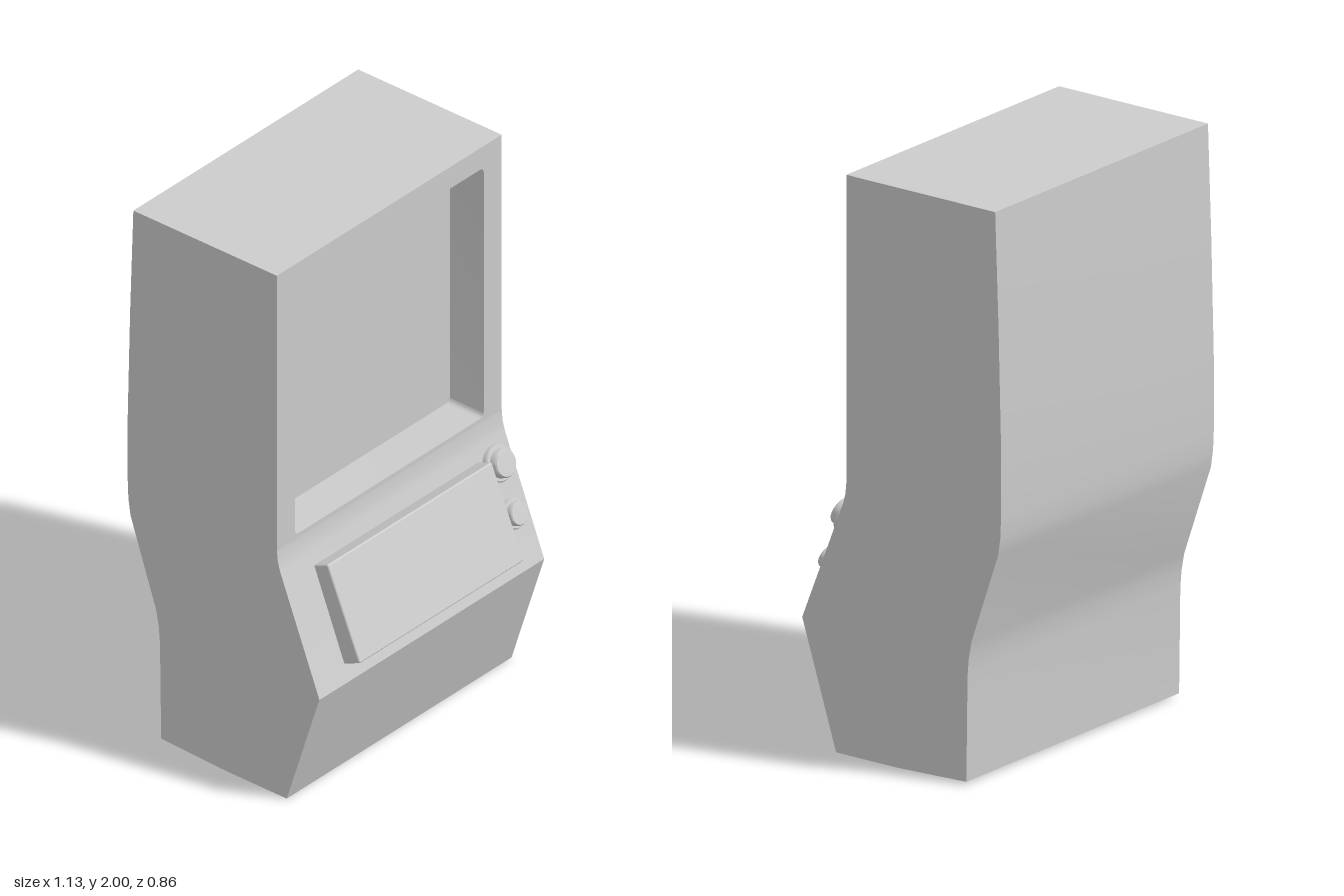
import * as THREE from 'three';
import { toCreasedNormals } from 'three/addons/utils/BufferGeometryUtils.js';
import { RoundedBoxGeometry } from 'three/addons/geometries/RoundedBoxGeometry.js';

const HALF_WIDTH = 0.565;
const FRONT_Z = 0.208;
const SLOPE = 0.39; // backward lean of the control slope

// Side outline as [z, y]: down the front, under, up the back, over the top
const outline = [
  [FRONT_Z, 0.94], [0.212, 0.9], [0.222, 0.865], [0.39, 0.44], [0.25, 0.003],
  [0, 0.003], [-0.287, 0.014], [-0.292, 0.38], [-0.297, 0.44], [-0.308, 0.5],
  [-0.418, 0.82], [-0.427, 0.88], [-0.43, 0.95], [-0.43, 1.2], [-0.42, 1.6],
  [-0.406, 2], [FRONT_Z, 2],
];

// Strip of quads between a path and its copy moved by an offset
function ribbon(path, offset) {
  const corners = [];
  for (let i = 0; i < path.length - 1; i++) {
    const a = path[i], b = path[i + 1];
    const c = b.clone().add(offset), d = a.clone().add(offset);
    corners.push(a, b, c, a, c, d);
  }
  const geometry = new THREE.BufferGeometry().setFromPoints(corners);
  return toCreasedNormals(geometry, 0.6);
}

// Counter-clockwise rounded rectangle
function roundedRect(x0, y0, x1, y1, r) {
  const shape = new THREE.Shape();
  shape.absarc(x0 + r, y0 + r, r, Math.PI, Math.PI * 1.5);
  shape.absarc(x1 - r, y0 + r, r, Math.PI * 1.5, Math.PI * 2);
  shape.absarc(x1 - r, y1 - r, r, 0, Math.PI / 2);
  shape.absarc(x0 + r, y1 - r, r, Math.PI / 2, Math.PI);
  shape.closePath();
  return shape;
}

export function createModel() {
  const model = new THREE.Group();
  model.name = 'arcadeCabinet';
  const material = new THREE.MeshStandardMaterial({ color: 0xcccccc });

  function add(name, geometry, parent = model) {
    const mesh = new THREE.Mesh(geometry, material);
    mesh.name = name;
    parent.add(mesh);
    return mesh;
  }

  const cabinet = new THREE.Group();
  cabinet.name = 'cabinet';
  model.add(cabinet);

  // Shell wrapping the lower front, base, back and top
  const shellPath = outline.map(([z, y]) => new THREE.Vector3(-HALF_WIDTH, y, z));
  add('shell', ribbon(shellPath, new THREE.Vector3(2 * HALF_WIDTH, 0, 0)), cabinet);

  // Flat side panels
  for (const side of [1, -1]) {
    const shape = new THREE.Shape(outline.map(([z, y]) => new THREE.Vector2(-side * z, y)));
    const geometry = new THREE.ShapeGeometry(shape).rotateY(side * Math.PI / 2);
    add(side > 0 ? 'leftPanel' : 'rightPanel', geometry.translate(side * HALF_WIDTH, 0, 0), cabinet);
  }

  // Frame around the screen opening
  const opening = roundedRect(-0.475, 0.957, 0.475, 1.917, 0.02);
  const frame = new THREE.Shape([
    new THREE.Vector2(-HALF_WIDTH, 0.94), new THREE.Vector2(HALF_WIDTH, 0.94),
    new THREE.Vector2(HALF_WIDTH, 2), new THREE.Vector2(-HALF_WIDTH, 2),
  ]);
  frame.holes.push(opening);
  add('screenFrame', new THREE.ShapeGeometry(frame, 6).translate(0, 0, FRONT_Z), cabinet);

  // Recess walls and the screen at their back
  const depth = 0.145;
  const rim = opening.getPoints(6).map((p) => new THREE.Vector3(p.x, p.y, FRONT_Z));
  add('recessWalls', ribbon(rim, new THREE.Vector3(0, 0, -depth)), cabinet);
  add('screen', new THREE.ShapeGeometry(opening, 6).translate(0, 0, FRONT_Z - depth), cabinet);

  // Control box raised on the slope
  const box = add('controlBox', new RoundedBoxGeometry(0.826, 0.352, 0.1, 2, 0.006));
  box.position.set(0, 0.667, 0.319);
  box.rotation.x = -0.405;

  // Round buttons: flange, groove and domed cap
  const button = (name, y, r) => {
    const profile = [
      [1, -0.1], [1, 0.25], [0.94, 0.34], [0.78, 0.34], [0.76, 0.7], [0.7, 0.78], [0, 0.8],
    ].map(([radius, h]) => new THREE.Vector2(radius * r, h * r));
    const geometry = toCreasedNormals(new THREE.LatheGeometry(profile, 32), 0.6);
    const mesh = add(name, geometry);
    mesh.position.set(0.485, y, 0.39 - (y - 0.44) * 0.395);
    mesh.rotation.x = Math.PI / 2 - SLOPE;
  };
  button('largeButton', 0.79, 0.063);
  button('smallButton', 0.623, 0.052);

  return model;
}
